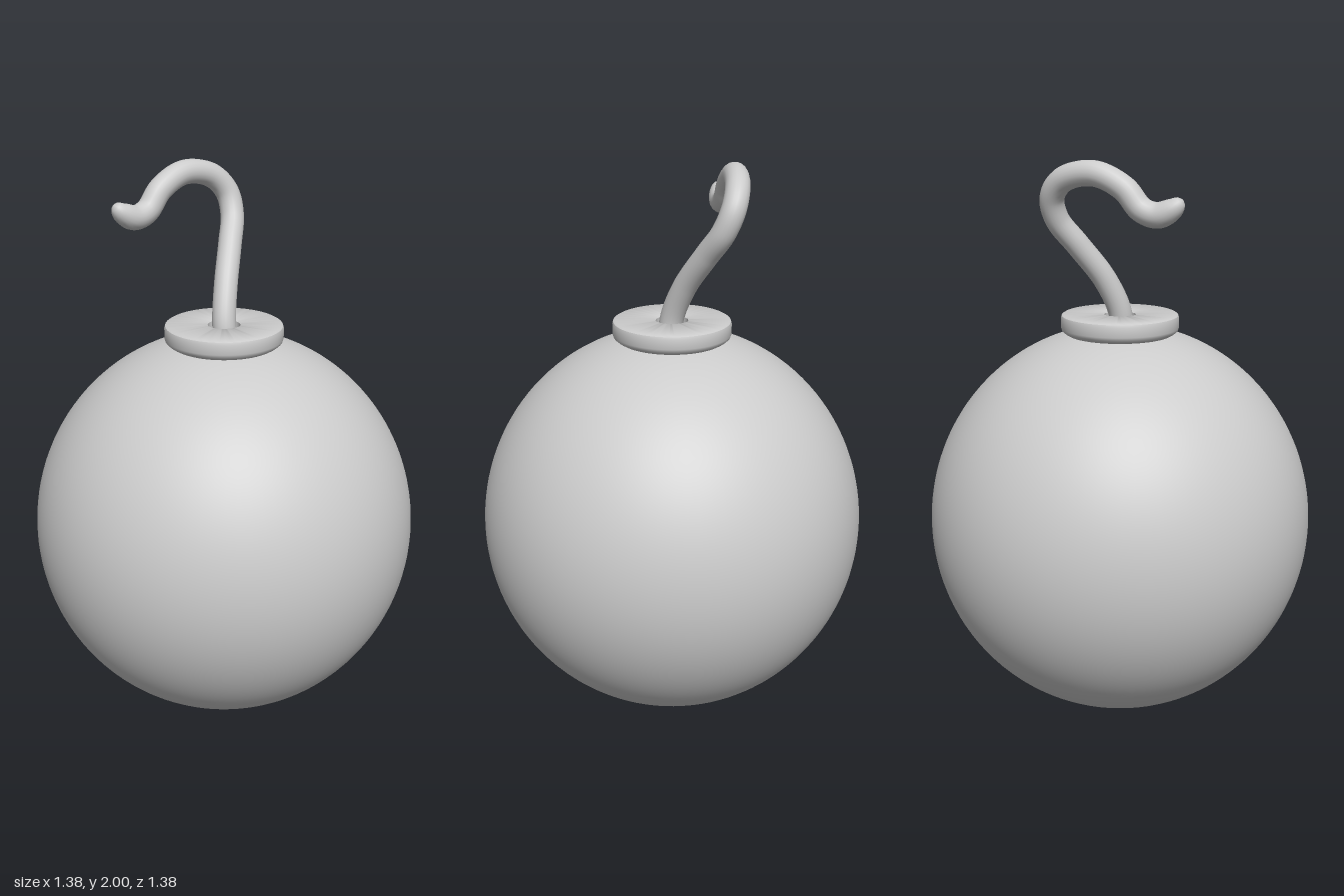
import * as THREE from 'three';
import { mergeVertices, toCreasedNormals } from 'three/addons/utils/BufferGeometryUtils.js';

const material = new THREE.MeshStandardMaterial({ color: 0xcccccc });

function addPart(group, name, geometry) {
  const mesh = new THREE.Mesh(geometry, material);
  mesh.name = name;
  group.add(mesh);
  return mesh;
}

// Tube along a path whose far end narrows to a rounded tip
function taperedTube(path, radius, tipLength) {
  const rings = 120, sides = 20;
  const tube = new THREE.TubeGeometry(path, rings, radius, sides, false);
  const pos = tube.attributes.position;
  const length = path.getLength();
  const v = new THREE.Vector3();
  for (let i = 0; i <= rings; i++) {
    const centre = path.getPointAt(i / rings);
    const d = Math.min(1, (1 - i / rings) * length / tipLength);
    const scale = Math.sqrt(1 - (1 - d) ** 2);
    for (let j = 0; j <= sides; j++) {
      const k = i * (sides + 1) + j;
      v.fromBufferAttribute(pos, k).sub(centre).multiplyScalar(scale).add(centre);
      pos.setXYZ(k, v.x, v.y, v.z);
    }
  }
  // Weld the seam so the shading is continuous
  tube.deleteAttribute('uv');
  tube.deleteAttribute('normal');
  const welded = mergeVertices(tube);
  welded.computeVertexNormals();
  return welded;
}

export function createModel() {
  const group = new THREE.Group();

  // Round body, very slightly taller than wide
  const body = addPart(group, 'body', new THREE.SphereGeometry(1, 96, 64));
  body.scale.set(0.692, 0.71, 0.692);
  body.position.y = 0.71;

  // Flat collar with softened rims and a hole for the fuse
  const collarProfile = [
    [0.06, 1.39], [0.18, 1.39], [0.197, 1.4], [0.206, 1.408], [0.209, 1.418],
    [0.209, 1.452], [0.206, 1.461], [0.199, 1.465],
    [0.062, 1.465], [0.057, 1.461], [0.056, 1.39],
  ].map(([x, y]) => new THREE.Vector2(x, y));
  const collar = new THREE.LatheGeometry(collarProfile, 72);
  addPart(group, 'collar', toCreasedNormals(collar, 0.7));

  // Curling fuse
  const fusePath = new THREE.CatmullRomCurve3([
    [0, 1.38, 0.01], [0, 1.47, 0], [0.045, 1.59, -0.035], [0.122, 1.71, -0.09],
    [0.18, 1.8, -0.135], [0.185, 1.875, -0.165], [0.135, 1.935, -0.19],
    [0.02, 1.958, -0.211], [-0.085, 1.913, -0.219], [-0.145, 1.848, -0.222],
    [-0.2, 1.832, -0.224], [-0.25, 1.853, -0.228], [-0.285, 1.885, -0.231],
  ].map((p) => new THREE.Vector3(...p)));
  addPart(group, 'fuse', taperedTube(fusePath, 0.042, 0.1));

  return group;
}
